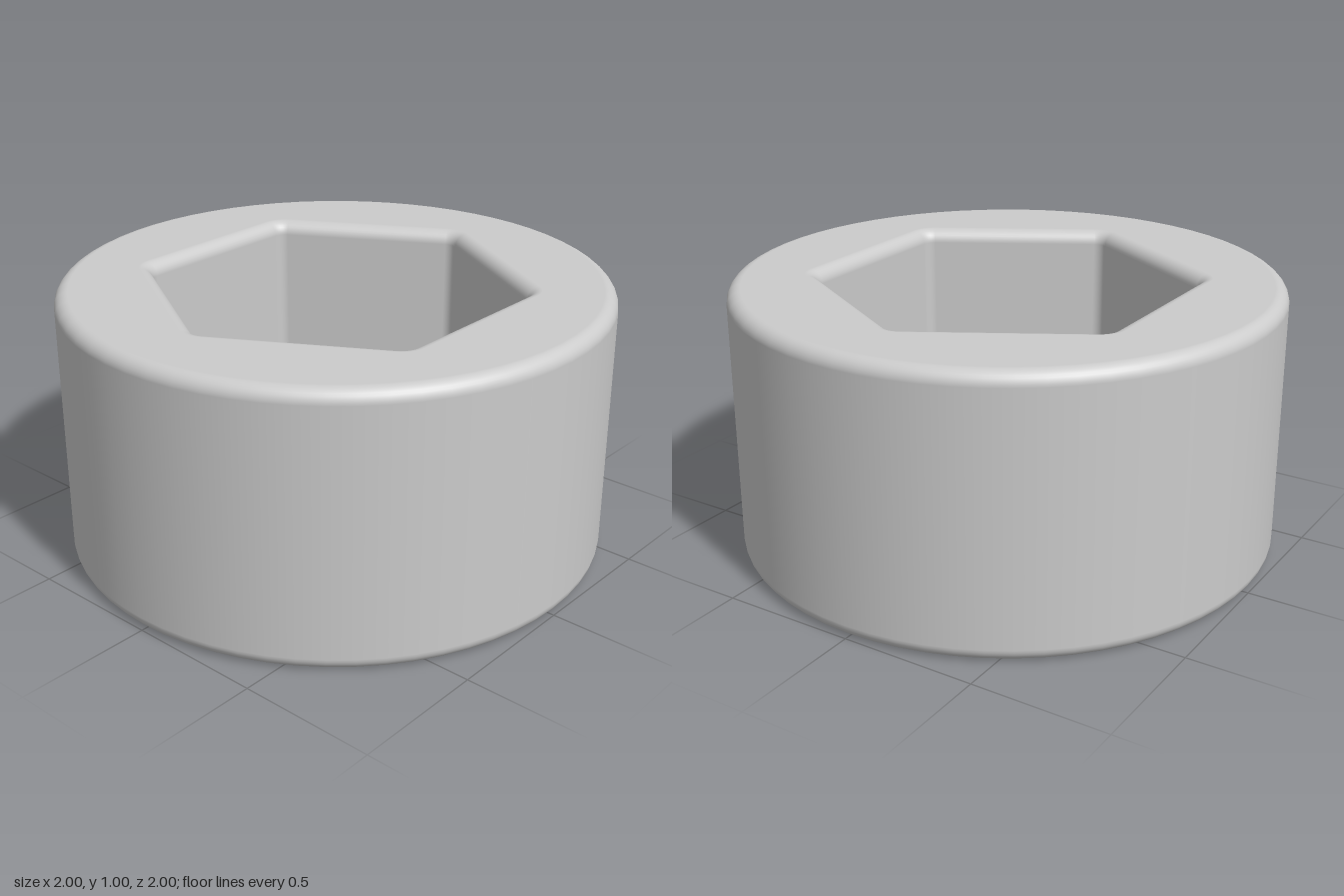
import * as THREE from 'three';

const HEIGHT = 1, BEVEL = 0.05, ARC = 8;

// Outline entries: a core point plus a unit normal; the outline lies at core + normal * offset.
function circleOutline(count) {
  return Array.from({ length: count }, (_, i) => {
    const a = (i / count) * Math.PI * 2;
    return { cx: 0, cz: 0, nx: Math.cos(a), nz: Math.sin(a) };
  });
}

// Hexagon with rounded corners, points toward +z and -z.
function hexOutline(apothem, steps) {
  const R = apothem / Math.cos(Math.PI / 6), out = [];
  for (let k = 0; k < 6; k++) {
    const mid = Math.PI / 6 + (k * Math.PI) / 3;
    for (let j = 0; j <= steps; j++) {
      const a = mid + (j / steps - 0.5) * (Math.PI / 3);
      out.push({ cx: R * Math.cos(mid), cz: R * Math.sin(mid), nx: Math.cos(a), nz: Math.sin(a) });
    }
  }
  return out;
}

// Upright wall with rounded rims; side is 1 for an outer wall, -1 for a hole.
function wall(outline, offset, side) {
  const pos = [], nor = [], idx = [], n = outline.length, rows = 2 * (ARC + 1);
  for (let r = 0; r < rows; r++) {
    const top = r > ARC;
    const a = ((top ? r - ARC - 1 : r - ARC) / ARC) * Math.PI / 2;
    const d = offset - side * BEVEL * (1 - Math.cos(a));
    const y = (top ? HEIGHT - BEVEL : BEVEL) + BEVEL * Math.sin(a);
    for (const p of outline) {
      pos.push(p.cx + p.nx * d, y, p.cz + p.nz * d);
      nor.push(side * p.nx * Math.cos(a), Math.sin(a), side * p.nz * Math.cos(a));
    }
  }
  for (let r = 0; r < rows - 1; r++) {
    for (let i = 0; i < n; i++) {
      const a = r * n + i, b = r * n + (i + 1) % n, c = a + n, d = b + n;
      if (side > 0) idx.push(a, c, b, b, c, d);
      else idx.push(a, b, c, b, d, c);
    }
  }
  const geo = new THREE.BufferGeometry();
  geo.setAttribute('position', new THREE.Float32BufferAttribute(pos, 3));
  geo.setAttribute('normal', new THREE.Float32BufferAttribute(nor, 3));
  geo.setIndex(idx);
  return geo;
}

const flatPoints = (outline, d) =>
  outline.map(p => new THREE.Vector2(p.cx + p.nx * d, p.cz + p.nz * d));

export function createModel() {
  const group = new THREE.Group();
  group.name = 'hexSocketCollar';
  const material = new THREE.MeshStandardMaterial({ color: 0xcccccc });
  const add = (name, geo) => {
    const mesh = new THREE.Mesh(geo, material);
    mesh.name = name;
    group.add(mesh);
    return mesh;
  };

  const corner = 0.05;
  const circle = circleOutline(64);
  const hex = hexOutline(0.6 - corner, 6);

  // Round outside and hexagonal through-hole
  add('outerWall', wall(circle, 1, 1));
  add('hexHole', wall(hex, corner, -1));

  // Flat ring faces between the rounded rims
  const ring = new THREE.Shape(flatPoints(circle, 1 - BEVEL));
  ring.holes.push(new THREE.Path(flatPoints(hex, corner + BEVEL)));
  add('topFace', new THREE.ShapeGeometry(ring).rotateX(-Math.PI / 2)).position.y = HEIGHT;
  add('bottomFace', new THREE.ShapeGeometry(ring).rotateX(Math.PI / 2));

  return group;
}
